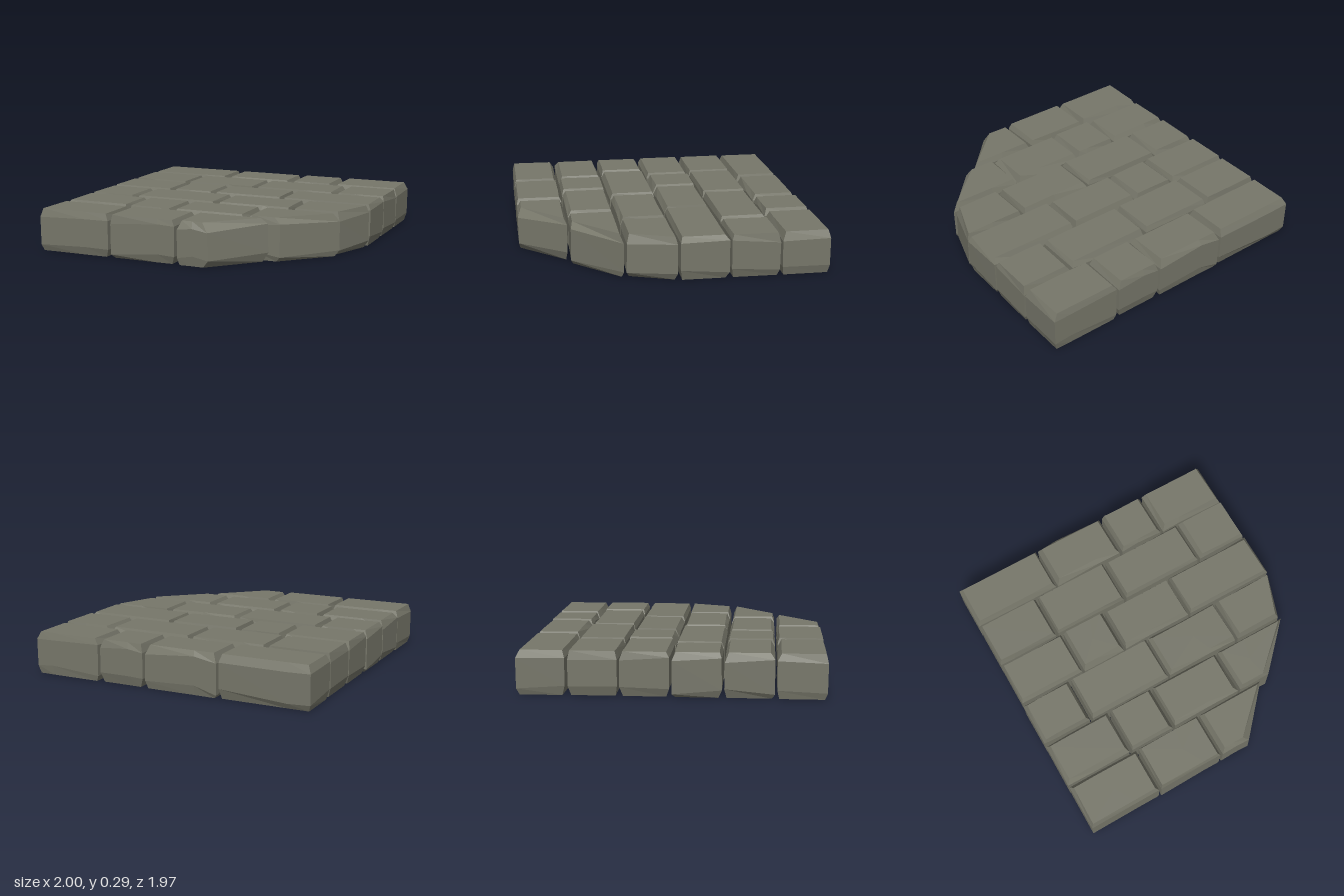
import * as THREE from 'three';

const HEIGHT = 0.29, DEPTH = 0.319, STEP = 0.332, GAP = 0.016;

// Joints between the stones of each course, back to front
const JOINTS = [
  [-0.37, 0.162, 0.505],
  [-0.547, 0.007, 0.625],
  [-0.515, -0.182, 0.345],
  [-0.637, -0.015, 0.54],
  [-0.51, -0.17, 0.357],
  [-0.47, 0.012],
];
// Right end of the last three courses, at their back and front edges
const CUTS = { 3: [0.995, 0.89], 4: [0.9, 0.6], 5: [0.525, 0.24] };

// Small seeded generator for the chiselled irregularity
let seed;
const rnd = (a, b) => {
  seed = (seed * 16807) % 2147483647;
  return a + (b - a) * (seed / 2147483647);
};

// One stone: four six-cornered rings (base, lower edge, upper edge, top) with flat caps
function stoneGeometry(left, rightBack, rightFront, back, front) {
  const tBack = rnd(0.25, 0.75), tFront = rnd(0.25, 0.75);
  const slant = rightBack === rightFront ? 1 : 1.8;

  // A ring inset from the outline by a random amount on each side
  const ring = (min, max, lowY, highY) => {
    const jitter = () => rnd(0, min / 2);
    const x0 = left + rnd(min, max), inset = rnd(min, max) * slant;
    const xb = rightBack - inset, xf = rightFront - inset;
    const z0 = back + rnd(min, max), z1 = front - rnd(min, max);
    return [
      [x0 + jitter(), z0 + jitter()],
      [THREE.MathUtils.lerp(x0, xb, tBack), z0 + jitter()],
      [xb - jitter(), z0 + jitter()],
      [xf - jitter(), z1 - jitter()],
      [THREE.MathUtils.lerp(x0, xf, tFront), z1 - jitter()],
      [x0 + jitter(), z1 - jitter()],
    ].map(([x, z]) => new THREE.Vector3(x, rnd(lowY, highY), z));
  };
  const rings = [
    ring(0.01, 0.022, 0, 0),
    ring(0, 0.004, 0.02, 0.07),
    ring(0, 0.004, HEIGHT - 0.065, HEIGHT - 0.03),
    ring(0.01, 0.026, HEIGHT, HEIGHT),
  ];
  const centre = (r) => r.reduce((sum, p) => sum.add(p), new THREE.Vector3()).divideScalar(r.length);
  const [base, , , top] = rings;
  const baseCentre = centre(base), topCentre = centre(top);

  const points = [];
  for (let i = 0; i < 6; i++) {
    const j = (i + 1) % 6;
    for (let k = 0; k < 3; k++) {
      const lo = rings[k], hi = rings[k + 1];
      points.push(lo[i], hi[i], hi[j], lo[i], hi[j], lo[j]);
    }
    points.push(baseCentre, base[i], base[j], topCentre, top[j], top[i]);
  }
  const geometry = new THREE.BufferGeometry().setFromPoints(points);
  geometry.computeVertexNormals();
  return geometry;
}

export function createModel() {
  seed = 7;
  const model = new THREE.Group();
  model.name = 'stonePaving';
  const material = new THREE.MeshStandardMaterial({ color: 0x77776a, flatShading: true });

  // Six courses from back to front; the last three are cut at the front corner
  JOINTS.forEach((joints, i) => {
    const row = new THREE.Group();
    row.name = `stoneRow${i + 1}`;
    const back = -0.992 + i * STEP;
    const [endBack, endFront] = CUTS[i] ?? [1, 1];
    for (let j = 0; j <= joints.length; j++) {
      const last = j === joints.length;
      const left = j === 0 ? -1 : joints[j - 1] + GAP / 2;
      const rightBack = last ? endBack : joints[j] - GAP / 2;
      const rightFront = last ? endFront : rightBack;
      const stone = new THREE.Mesh(stoneGeometry(left, rightBack, rightFront, back, back + DEPTH), material);
      stone.name = last && CUTS[i] ? 'cutStone' : `stone${j + 1}`;
      row.add(stone);
    }
    model.add(row);
  });
  return model;
}
